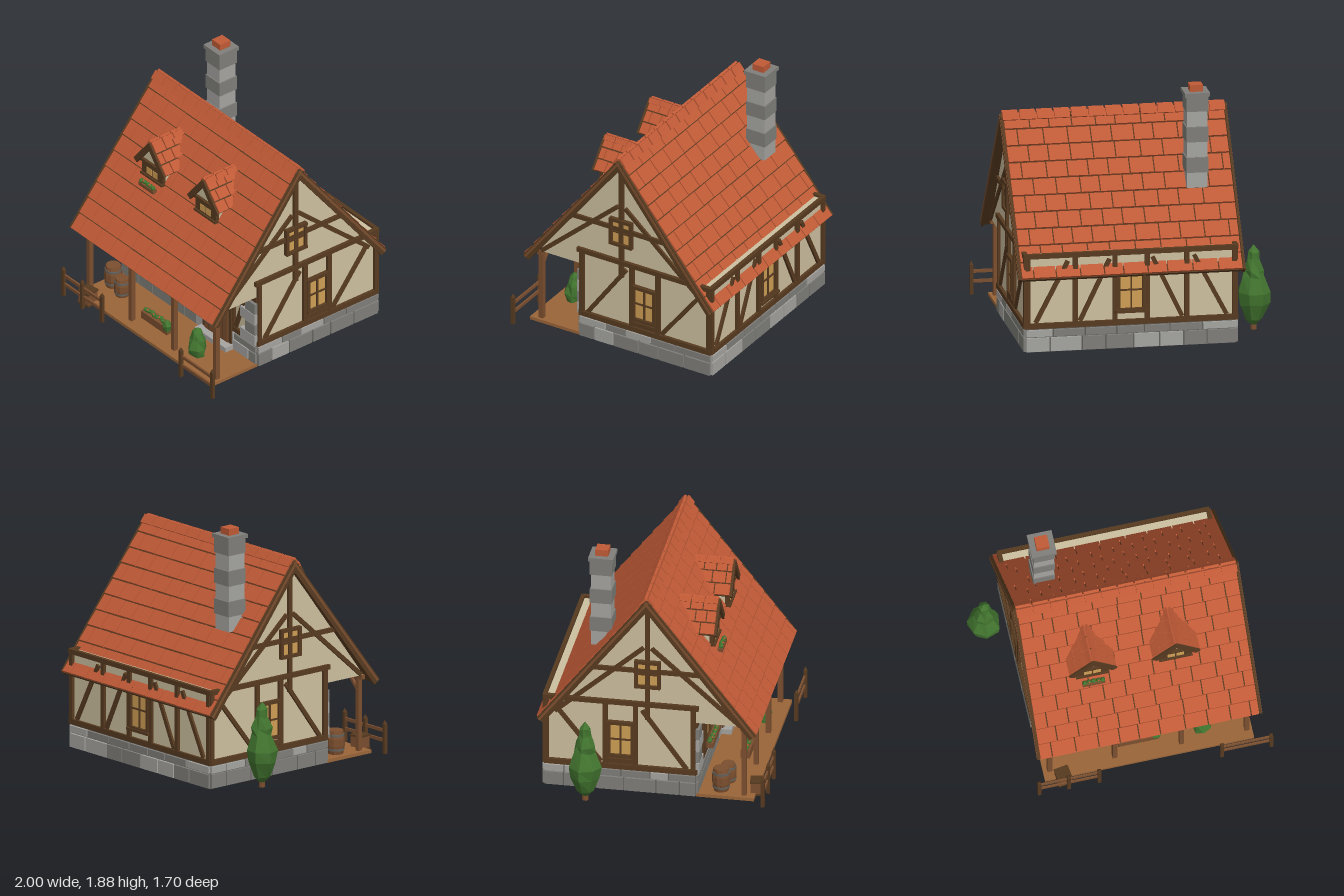
import * as THREE from 'three';

const mat = (name, color) => Object.assign(new THREE.MeshStandardMaterial({ color }), { name });
const M = {
  plaster: mat('plaster', 0xcdc09f), tile: mat('roof tile', 0xc05a36), dark: mat('dark timber', 0x573a20),
  wood: mat('wood', 0x7c4f2f), floor: mat('light wood', 0x9a6539), stone: mat('stone', 0x7f7e7a),
  pale: mat('pale stone', 0xa5a4a0), mortar: mat('mortar', 0x63625d), glass: mat('amber glass', 0xcf9f55),
  leaf: mat('leaf', 0x42752f),
};
let seed = 7;
const rnd = () => (seed = (seed * 16807) % 2147483647) / 2147483647;

function add(parent, name, geo, material, x = 0, y = 0, z = 0) {
  const m = new THREE.Mesh(geo, material);
  m.name = name;
  m.position.set(x, y, z);
  parent.add(m);
  return m;
}
const box = (p, name, m, w, h, d, x, y, z) => add(p, name, new THREE.BoxGeometry(w, h, d), m, x, y, z);
function group(parent, name, x = 0, y = 0, z = 0, ry = 0) {
  const g = new THREE.Group();
  g.name = name;
  g.position.set(x, y, z);
  g.rotation.y = ry;
  parent.add(g);
  return g;
}
// Straight timber lying on a wall's own plane (u right, v up, outward +z)
function beam(p, u1, v1, u2, v2, w = 0.035, d = 0.03, m = M.dark, name = 'timber') {
  const b = box(p, name, m, Math.hypot(u2 - u1, v2 - v1), w, d, (u1 + u2) / 2, (v1 + v2) / 2, d / 2 - 0.008);
  b.rotation.z = Math.atan2(v2 - v1, u2 - u1);
  return b;
}
function extrude(pts, depth) {
  const s = new THREE.Shape(pts.map(([a, b]) => new THREE.Vector2(a, b)));
  return new THREE.ExtrudeGeometry(s, { depth, bevelEnabled: false });
}
function paneWindow(p, u, v, w, h, cols = 2, rows = 2, t = 0.025) {
  const g = group(p, 'window', u, v, 0);
  box(g, 'glass', M.glass, w, h, 0.008, 0, 0, 0.008);
  for (let i = 0; i <= cols; i++) {
    const e = i === 0 || i === cols ? t : 0.012;
    box(g, 'windowBar', M.dark, e, h + t, e === t ? 0.04 : 0.02, -w / 2 + (w * i) / cols, 0, 0.012);
  }
  for (let i = 0; i <= rows; i++) {
    const e = i === 0 || i === rows ? t : 0.012;
    box(g, 'windowBar', M.dark, w + t, e, e === t ? 0.042 : 0.02, 0, -h / 2 + (h * i) / rows, 0.012);
  }
}
function stones(p, u1, u2, rows) {
  for (const [v1, v2] of rows) {
    for (let u = u1; u < u2 - 0.02;) {
      let w = 0.13 + rnd() * 0.12;
      if (u2 - u - w < 0.08) w = u2 - u;
      box(p, 'foundationStone', rnd() < 0.3 ? M.pale : M.stone, w - 0.01, v2 - v1, 0.02, u + w / 2, (v1 + v2) / 2, 0.008);
      u += w;
    }
  }
}
// Tiled slope: ridge along local x, falling towards local +z
function slope(parent, name, width, len, rows, tileW, thick, angle, ry) {
  const g = group(group(parent, name, 0, 0, 0, ry), 'slope');
  g.rotation.x = angle;
  box(g, 'roofBoards', M.dark, width, thick, len, 0, -thick / 2 - 0.008, len / 2);
  const pitch = len / rows;
  for (let r = 0; r < rows; r++) {
    let x = -width / 2 + 0.006;
    const end = width / 2 - 0.006;
    for (let first = true; x < end - 0.01; first = false) {
      let w = first && r % 2 ? tileW * 0.55 : tileW * (0.85 + rnd() * 0.3);
      if (end - x - w < tileW * 0.35) w = end - x;
      const t = box(g, 'roofTile', M.tile, w - 0.009, 0.018, pitch - 0.011 + rnd() * 0.004, x + w / 2, 0.002, (r + 0.5) * pitch);
      t.rotation.x = -0.06;
      x += w;
    }
  }
  return g;
}
// Faceted shrub from a turned profile with jittered points
function shrub(parent, name, profile, x, y, z, sides = 7) {
  const geo = new THREE.LatheGeometry(profile.map(([r, h]) => new THREE.Vector2(r, h)), sides);
  const p = geo.attributes.position, n = profile.length;
  for (let j = 1; j < n - 1; j++) for (let i = 0; i < sides; i++) {
    const k = 0.85 + rnd() * 0.28, dy = (rnd() - 0.5) * 0.02;
    for (const q of i === 0 ? [j, sides * n + j] : [i * n + j]) p.setXYZ(q, p.getX(q) * k, p.getY(q) + dy, p.getZ(q) * k);
  }
  const flat = geo.toNonIndexed();
  flat.computeVertexNormals();
  return add(parent, name, flat, M.leaf, x, y, z);
}
function flowerBox(parent, x, y, z, w, h = 0.04, d = 0.05) {
  const g = group(parent, 'flowerBox', x, y, z);
  box(g, 'trough', M.wood, w, h, d, 0, 0, 0);
  const n = Math.round(w / 0.032);
  for (let i = 0; i < n; i++) {
    const px = -w / 2 + ((i + 0.5) * w) / n, ph = h / 2 + 0.008 + rnd() * 0.006;
    add(g, 'foliage', new THREE.IcosahedronGeometry(0.019, 0), M.leaf, px, ph, (rnd() - 0.5) * 0.015);
    if (i % 2) add(g, 'blossom', new THREE.IcosahedronGeometry(0.008, 0), M.tile, px, ph + 0.013, 0.012);
  }
}
function barrel(parent, x, z, r, h) {
  const g = group(parent, 'barrel', x, 0.04, z);
  const prof = [[0, 0], [0.82, 0], [1, 0.35], [1, 0.65], [0.82, 1], [0, 1]].map(([a, b]) => new THREE.Vector2(a * r, b * h));
  const flat = new THREE.LatheGeometry(prof, 10).toNonIndexed();
  flat.computeVertexNormals();
  add(g, 'staves', flat, M.wood);
  for (const k of [0.2, 0.8]) add(g, 'hoop', new THREE.CylinderGeometry(r * 0.97, r * 0.97, 0.016, 10), M.mortar, 0, h * k, 0);
}

export function createModel() {
  const root = new THREE.Group();
  root.name = 'cottage';
  const CX = 0.082, RZ = -0.03, A = Math.atan2(1.04, 0.81), L = 1.32;

  // Plaster body, swept along x from its gable section (z, y)
  const section = [[0.32, 0.18], [0.32, 0.62], [0.69, 0.62], [RZ, 1.57], [-0.71, 0.7], [-0.71, 0.745], [-0.79, 0.745], [-0.79, 0.18]];
  const body = add(root, 'plasterWalls', extrude(section.map(([z, y]) => [-z, y]).reverse(), 1.55), M.plaster, -0.69, 0, 0);
  body.rotation.y = Math.PI / 2;
  box(root, 'foundation', M.mortar, 1.56, 0.175, 1.125, 0.085, 0.1025, -0.2325);
  const rows = [[0.022, 0.125], [0.135, 0.185]];

  // Gable walls
  for (const s of [1, -1]) {
    const w = group(root, s > 0 ? 'rightGable' : 'leftGable', s > 0 ? 0.86 : -0.69, 0, 0, (s * Math.PI) / 2);
    const b = (z1, y1, z2, y2, t, d) => beam(w, -s * z1, y1, -s * z2, y2, t, d);
    b(0.35, 0.745, -0.8, 0.745, 0.036, 0.034);
    b(0.33, 0.215, -0.8, 0.215, 0.04, 0.034);
    for (const z of [0.31, -0.12, -0.345, -0.785]) b(z, 0.2, z, 0.74, 0.036);
    b(-0.12, 0.26, -0.345, 0.26);
    b(0.26, 0.235, -0.07, 0.69, 0.032, 0.026);
    b(-0.38, 0.245, -0.69, 0.64, 0.032, 0.026);
    b(RZ, 0.62, RZ, 1.56);
    b(0.41, 1.02, -0.47, 1.02, 0.034, 0.028);
    for (const k of [1, -1]) b(RZ + k * 0.03, 1.21, RZ + k * 0.69, 0.63, 0.032, 0.026);
    paneWindow(w, s * 0.23, 0.44, 0.18, 0.27, 2, 2);
    paneWindow(w, -s * RZ, 0.995, 0.17, 0.2, 2, 2);
    const st = group(w, 'gableFoundation', 0, 0, 0.005);
    s > 0 ? stones(st, -0.33, 0.8, rows) : stones(st, -0.8, 0.33, rows);
  }

  // Back wall
  const back = group(root, 'backWall', 0, 0, -0.79, Math.PI);
  beam(back, -0.88, 0.745, 0.71, 0.745, 0.036);
  beam(back, -0.875, 0.215, 0.705, 0.215, 0.04);
  for (const u of [-0.855, -0.5, -0.205, 0.035, 0.33, 0.685]) beam(back, u, 0.2, u, 0.74, 0.036);
  for (const k of [1, -1]) {
    beam(back, -0.085 + k * 0.71, 0.24, -0.085 + k * 0.47, 0.7, 0.032, 0.026);
    beam(back, -0.085 + k * 0.38, 0.24, -0.085 + k * 0.16, 0.7, 0.032, 0.026);
  }
  paneWindow(back, -0.085, 0.46, 0.19, 0.3);
  box(back, 'windowSill', M.dark, 0.24, 0.02, 0.05, -0.085, 0.3, 0.02);
  stones(group(back, 'backFoundation', 0, 0, 0.006), -0.87, 0.7, rows);

  // Front wall with door, big window and corner stones
  const front = group(root, 'frontWall', 0, 0, 0.32);
  beam(front, -0.7, 0.215, 0.28, 0.215, 0.04);
  beam(front, 0.58, 0.215, 0.87, 0.215, 0.04);
  beam(front, -0.7, 0.6, 0.87, 0.6, 0.04);
  beam(front, -0.42, 0.26, 0.26, 0.26, 0.03);
  for (const u of [-0.42, -0.06, 0.265, 0.59]) beam(front, u, 0.2, u, 0.6);
  for (const [a, c] of [[-0.62, -0.49], [-0.02, 0.14], [0.62, 0.74]]) beam(front, a, 0.24, c, 0.58, 0.032, 0.026);
  paneWindow(front, -0.24, 0.43, 0.31, 0.29, 3, 2);
  stones(group(front, 'frontFoundation', 0, 0, 0.008), -0.7, 0.87, rows);
  for (const k of [1, -1]) for (let i = 0; i < 4; i++) {
    const w = i % 2 ? 0.11 : 0.17;
    box(front, 'cornerStone', i % 2 ? M.stone : M.pale, w, 0.088, 0.045, 0.085 + k * (0.785 - w / 2), 0.245 + i * 0.093, 0.012);
  }
  const door = group(front, 'door', 0.43, 0.04, 0.005);
  add(door, 'doorFrame', extrude([[-0.165, 0], [0.165, 0], [0.165, 0.5], [0.12, 0.55], [-0.12, 0.55], [-0.165, 0.5]], 0.03), M.dark);
  add(door, 'doorLeaf', extrude([[-0.135, 0], [0.135, 0], [0.135, 0.49], [0.1, 0.53], [-0.1, 0.53], [-0.135, 0.49]], 0.012), M.wood, 0, 0, 0.026);
  for (const u of [-0.08, -0.027, 0.027, 0.08]) box(door, 'plankGap', M.dark, 0.005, 0.5, 0.004, u, 0.26, 0.038);
  for (const v of [0.11, 0.4]) box(door, 'hinge', M.mortar, 0.16, 0.018, 0.01, -0.05, v, 0.041);
  box(door, 'handle', M.mortar, 0.018, 0.04, 0.02, 0.1, 0.27, 0.045);
  box(root, 'doorStep', M.pale, 0.36, 0.04, 0.09, 0.43, 0.06, 0.375);
  flowerBox(root, -0.24, 0.29, 0.38, 0.34);

  // Hanging lantern
  const lamp = group(root, 'lantern', 0.21, 0, 0.42);
  box(lamp, 'bracket', M.dark, 0.015, 0.015, 0.1, 0, 0.595, -0.04);
  box(lamp, 'hook', M.dark, 0.008, 0.03, 0.008, 0, 0.58, 0);
  add(lamp, 'lanternCap', new THREE.ConeGeometry(0.035, 0.025, 4, 1, false, Math.PI / 4), M.mortar, 0, 0.568, 0);
  box(lamp, 'lanternGlass', M.glass, 0.038, 0.05, 0.038, 0, 0.53, 0);
  box(lamp, 'lanternBase', M.dark, 0.046, 0.008, 0.046, 0, 0.502, 0);

  // Porch
  box(root, 'porchFloor', M.floor, 1.57, 0.025, 0.43, 0.085, 0.028, 0.545);
  box(root, 'porchBeam', M.wood, 1.57, 0.035, 0.035, 0.085, 0.605, 0.68);
  for (const x of [-0.65, -0.16, 0.34, 0.83]) {
    box(root, 'porchPost', M.wood, 0.036, 0.57, 0.036, x, 0.325, 0.68);
    for (const k of [1, -1]) {
      if (x + k * 0.1 < -0.7 || x + k * 0.1 > 0.87) continue;
      beam(group(root, 'brace', x, 0, 0.67), 0, 0.5, k * 0.09, 0.6, 0.022, 0.022, M.wood, 'kneeBrace');
    }
  }
  barrel(root, -0.6, 0.5, 0.068, 0.18);
  barrel(root, -0.46, 0.53, 0.06, 0.15);
  flowerBox(root, 0.03, 0.085, 0.59, 0.3, 0.06, 0.07);
  shrub(root, 'smallBush', [[0, 0], [0.025, 0.01], [0.035, 0.05], [0.02, 0.09], [0, 0.105]], 0.165, 0.075, 0.61);
  shrub(root, 'porchBush', [[0, 0], [0.06, 0.02], [0.075, 0.08], [0.055, 0.15], [0.045, 0.19], [0.035, 0.22], [0, 0.25]], 0.51, 0.035, 0.6);
  const crate = group(root, 'crate', -0.565, 0.075, 0.765, 0.15);
  box(crate, 'crateBody', M.wood, 0.1, 0.1, 0.1, 0, 0, 0);
  for (const v of [-0.05, 0.05]) box(crate, 'crateBand', M.dark, 0.108, 0.015, 0.108, 0, v, 0);

  // Fences
  for (const xs of [[-0.76, -0.54, -0.31], [0.61, 0.98]]) {
    const a = xs[0], c = xs[xs.length - 1];
    for (const y of [0.11, 0.185]) box(root, 'fenceRail', M.wood, c - a + 0.02, 0.024, 0.014, (a + c) / 2, y, 0.834);
    for (const x of xs) {
      box(root, 'fencePost', M.dark, 0.026, 0.225, 0.026, x, 0.1225, 0.838);
      add(root, 'postTip', new THREE.ConeGeometry(0.0184, 0.03, 4, 1, false, Math.PI / 4), M.dark, x, 0.25, 0.838);
    }
  }

  // Cypress
  shrub(root, 'cypress', [[0, 0], [0.06, 0.06], [0.11, 0.18], [0.115, 0.27], [0.08, 0.39], [0.075, 0.44], [0.045, 0.52], [0.04, 0.58], [0, 0.63]], -0.888, 0.03, -0.46);
  add(root, 'trunk', new THREE.CylinderGeometry(0.02, 0.025, 0.08, 6), M.wood, -0.888, 0.055, -0.46);

  // Main roof
  const roof = group(root, 'mainRoof', CX, 1.625, RZ);
  for (const ry of [0, Math.PI]) {
    const g = slope(roof, 'roofSlope', 1.66, L, 10, 0.168, 0.03, A, ry);
    for (const k of [1, -1]) {
      box(g, 'bargeBoard', M.dark, 0.018, 0.06, L, k * 0.834, -0.024, L / 2);
      box(g, 'bargeTrim', M.wood, 0.008, 0.018, L, k * 0.842, -0.014, L / 2);
    }
    for (let i = 0; i < 13; i++) box(g, 'ridgeTile', M.tile, 0.115, 0.018, 0.07, -0.77 + i * 0.1283, 0.016, 0.028);
  }

  // Dormers
  for (const x of [-0.265, 0.36]) {
    const d = group(root, 'dormer', x, 0, 0);
    add(d, 'dormerWall', extrude([[-0.115, 1.1], [0.115, 1.1], [0.115, 1.22], [0.14, 1.22], [0, 1.4], [-0.14, 1.22], [-0.115, 1.22]], 0.28), M.plaster, 0, 0, 0.11);
    const f = group(d, 'dormerFront', 0, 0, 0.39);
    box(f, 'dormerFrame', M.dark, 0.24, 0.115, 0.03, 0, 1.165, -0.002);
    box(f, 'dormerLintel', M.dark, 0.26, 0.024, 0.045, 0, 1.225, 0);
    for (const u of [-0.034, 0.034]) box(f, 'dormerGlass', M.glass, 0.058, 0.055, 0.008, u, 1.16, 0.012);
    box(f, 'dormerSill', M.dark, 0.25, 0.016, 0.045, 0, 1.112, 0.005);
    const r = group(d, 'dormerRoof', 0, 1.43, 0.275);
    for (const k of [1, -1]) {
      const s = slope(r, 'dormerSlope', 0.3, 0.27, 3, 0.09, 0.02, 0.89, (k * Math.PI) / 2);
      box(s, 'dormerBarge', M.dark, 0.016, 0.045, 0.275, -k * 0.152, -0.014, 0.1375);
      for (let i = 0; i < 3; i++) box(s, 'dormerRidgeTile', M.tile, 0.09, 0.014, 0.04, -0.1 + i * 0.1, 0.014, 0.016);
    }
  }
  flowerBox(root, -0.265, 1.055, 0.445, 0.17, 0.028, 0.04);

  // Chimney
  const ch = group(root, 'chimney', -0.465, 0, -0.407);
  for (let i = 0; i < 6; i++) {
    const w = i % 2 ? 0.164 : 0.15;
    box(ch, 'chimneyBlock', i % 2 ? M.stone : M.pale, w, 0.114, w, 0, 1.175 + i * 0.116, 0);
  }
  box(ch, 'chimneyCore', M.mortar, 0.14, 0.68, 0.14, 0, 1.46, 0);
  box(ch, 'chimneyCap', M.stone, 0.186, 0.03, 0.186, 0, 1.826, 0);
  box(ch, 'chimneyPot', M.tile, 0.096, 0.05, 0.096, 0, 1.866, 0);
  return root;
}
